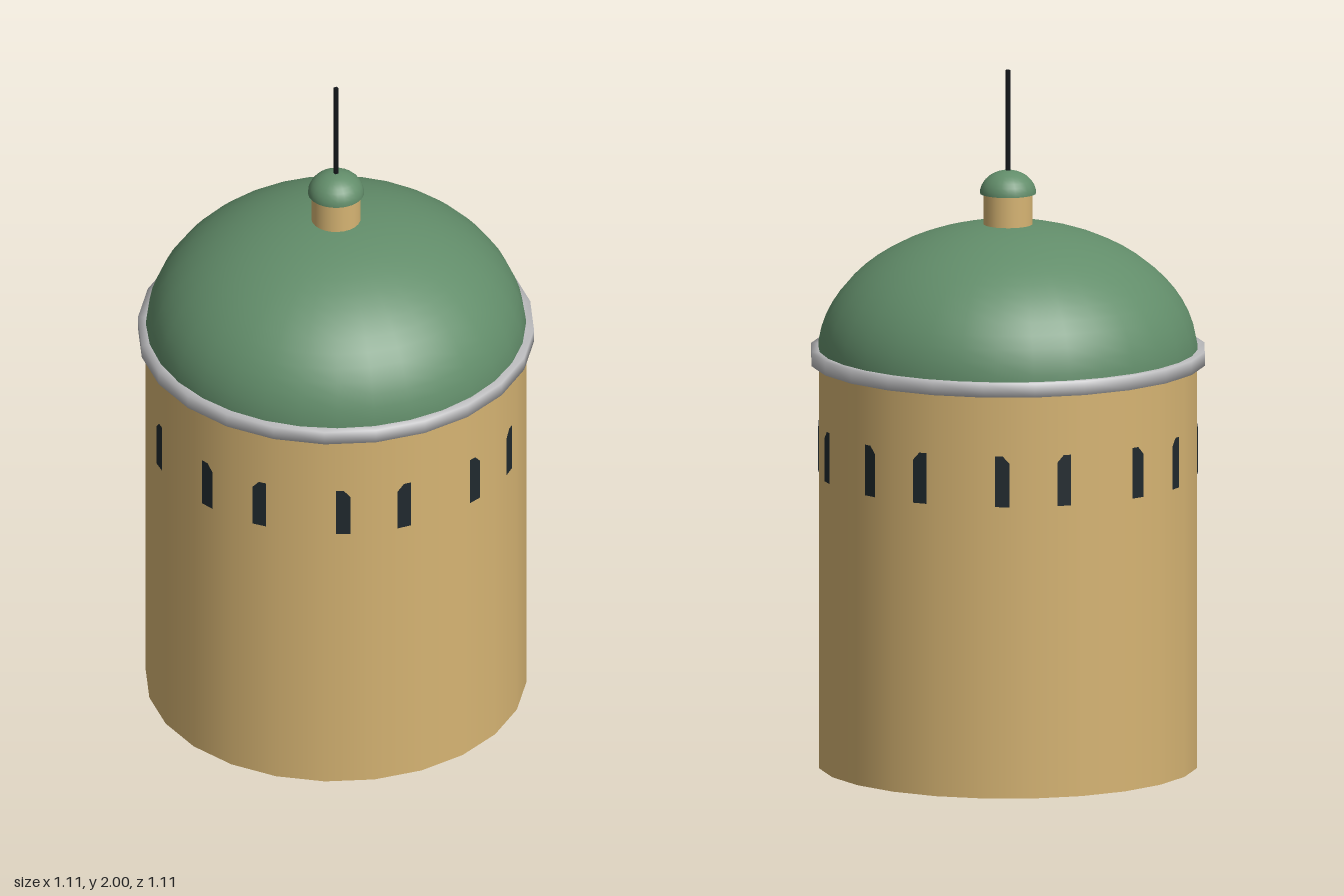
import * as THREE from 'three';

const mat = (name, color, side = THREE.FrontSide) => {
  const m = new THREE.MeshStandardMaterial({ color, side });
  m.name = name;
  return m;
};

export function createModel() {
  const model = new THREE.Group();
  model.name = 'domedTower';

  const stone = mat('sandstone', 0xd6b473, THREE.DoubleSide);
  const copper = mat('greenCopper', 0x628d6a, THREE.DoubleSide);
  const trim = mat('greyTrim', 0xbebec0, THREE.DoubleSide);
  const glass = mat('darkWindow', 0x20292e, THREE.DoubleSide);
  const iron = mat('blackIron', 0x15181c);

  const add = (name, geometry, material, y = 0, parent = model) => {
    const mesh = new THREE.Mesh(geometry, material);
    mesh.name = name;
    mesh.position.y = y;
    parent.add(mesh);
    return mesh;
  };

  // Walls and cornice share 24 sides, turned so a flat side faces front
  const sides = 24;
  const turn = Math.PI / sides;
  const wallR = 0.54;
  add('wall', new THREE.CylinderGeometry(wallR, wallR, 1.18, sides, 1, true, turn), stone, 0.59);

  const ringProfile = [[0.535, 1.16], [0.562, 1.16], [0.562, 1.2], [0.535, 1.2]]
    .map(([x, y]) => new THREE.Vector2(x, y));
  add('cornice', new THREE.LatheGeometry(ringProfile, sides, turn), trim);

  // Half-ellipsoid roofs
  const dome = (r, h, segments, rings) =>
    new THREE.SphereGeometry(r, segments, rings, 0, Math.PI * 2, 0, Math.PI / 2).scale(1, h / r, 1);
  add('dome', dome(wallR, 0.38, 32, 16), copper, 1.18);
  add('lantern', new THREE.CylinderGeometry(0.07, 0.07, 0.12, 24, 1, true), stone, 1.59);
  add('lanternCap', dome(0.08, 0.066, 24, 8), copper, 1.645);

  // Square spire
  add('spire', new THREE.CylinderGeometry(0.007, 0.007, 0.3, 4, 1, false, Math.PI / 4), iron, 1.85);

  // Sixteen flat windows set tangent to the wall, half sunk into its facets
  const w = 0.037;
  const outline = [[-w, 0.84], [w, 0.84], [w, 0.965], [0.018, 0.986], [-0.018, 0.986], [-w, 0.965]]
    .map(([x, y]) => new THREE.Vector2(x, y));
  const pane = new THREE.ShapeGeometry(new THREE.Shape(outline)).translate(0, 0, 0.5368);
  const windows = new THREE.Group();
  windows.name = 'windows';
  model.add(windows);
  for (let i = 0; i < 16; i++) {
    add('window', pane, glass, 0, windows).rotation.y = (i + 0.5) * Math.PI / 8;
  }

  return model;
}
